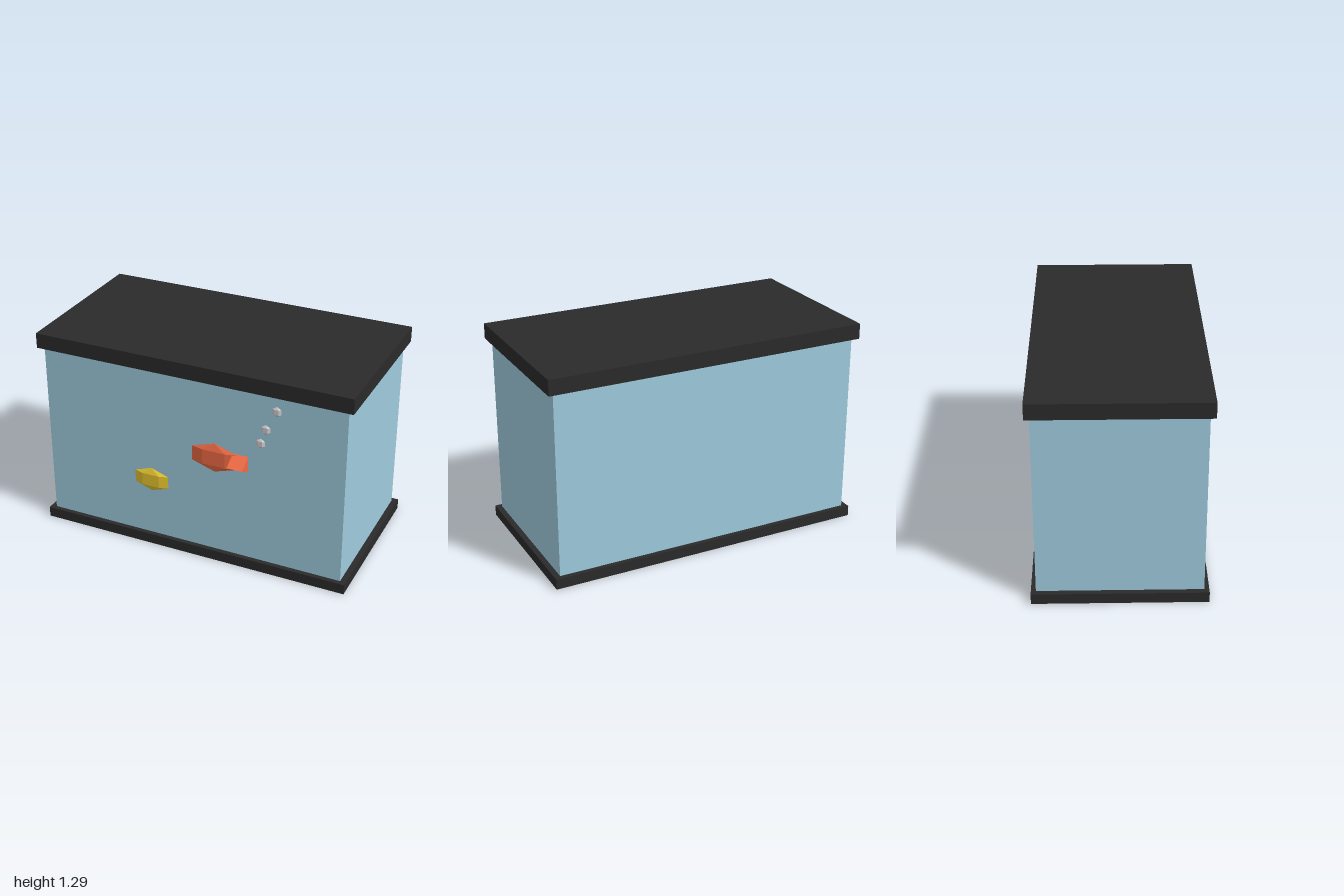
import * as THREE from 'three';

const mat = (color) => {
  const m = new THREE.MeshStandardMaterial({ flatShading: true });
  m.color.set(color);
  return m;
};

export function createModel() {
  const group = new THREE.Group();
  const black = mat(0x2a2a2a), glass = mat(0x9fcbde), orange = mat(0xee6b45);
  const yellow = mat(0xe6c530), grey = mat(0xcccccc);

  const add = (name, geometry, material, x, y, z) => {
    const mesh = new THREE.Mesh(geometry, material);
    mesh.name = name;
    mesh.position.set(x, y, z);
    group.add(mesh);
    return mesh;
  };

  // Tank: base, water block and lid
  const tankZ = -0.0275;
  add('base', new THREE.BoxGeometry(2, 0.065, 1.025), black, 0, 0.0325, tankZ);
  add('waterTank', new THREE.BoxGeometry(1.93, 1.13, 0.967), glass, 0, 0.63, tankZ);
  add('lid', new THREE.BoxGeometry(2, 0.095, 1.025), black, 0, 1.2425, tankZ);

  // Flattened low-poly spheres set into the front pane
  const frontZ = 0.465;
  const blob = (name, material, x, y, rx, ry, rz) =>
    add(name, new THREE.SphereGeometry(1, 6, 3).scale(rx, ry, rz), material, x, y, frontZ);

  blob('orangeFishBody', orange, 0.16, 0.71, 0.168, 0.095, 0.023);
  blob('yellowFishBody', yellow, -0.26, 0.455, 0.128, 0.079, 0.023);

  // Tail: three-sided prism lying along x, one edge pointing forward
  const tail = new THREE.CylinderGeometry(0.08, 0.08, 0.097, 3).rotateZ(Math.PI / 2);
  add('orangeFishTail', tail, orange, 0.322, 0.71, frontZ);

  // Rising bubbles
  [[0.45, 0.875], [0.48, 0.97], [0.545, 1.1]].forEach(([x, y], i) =>
    blob(`bubble${i + 1}`, grey, x, y, 0.032, 0.032, 0.014));

  return group;
}
